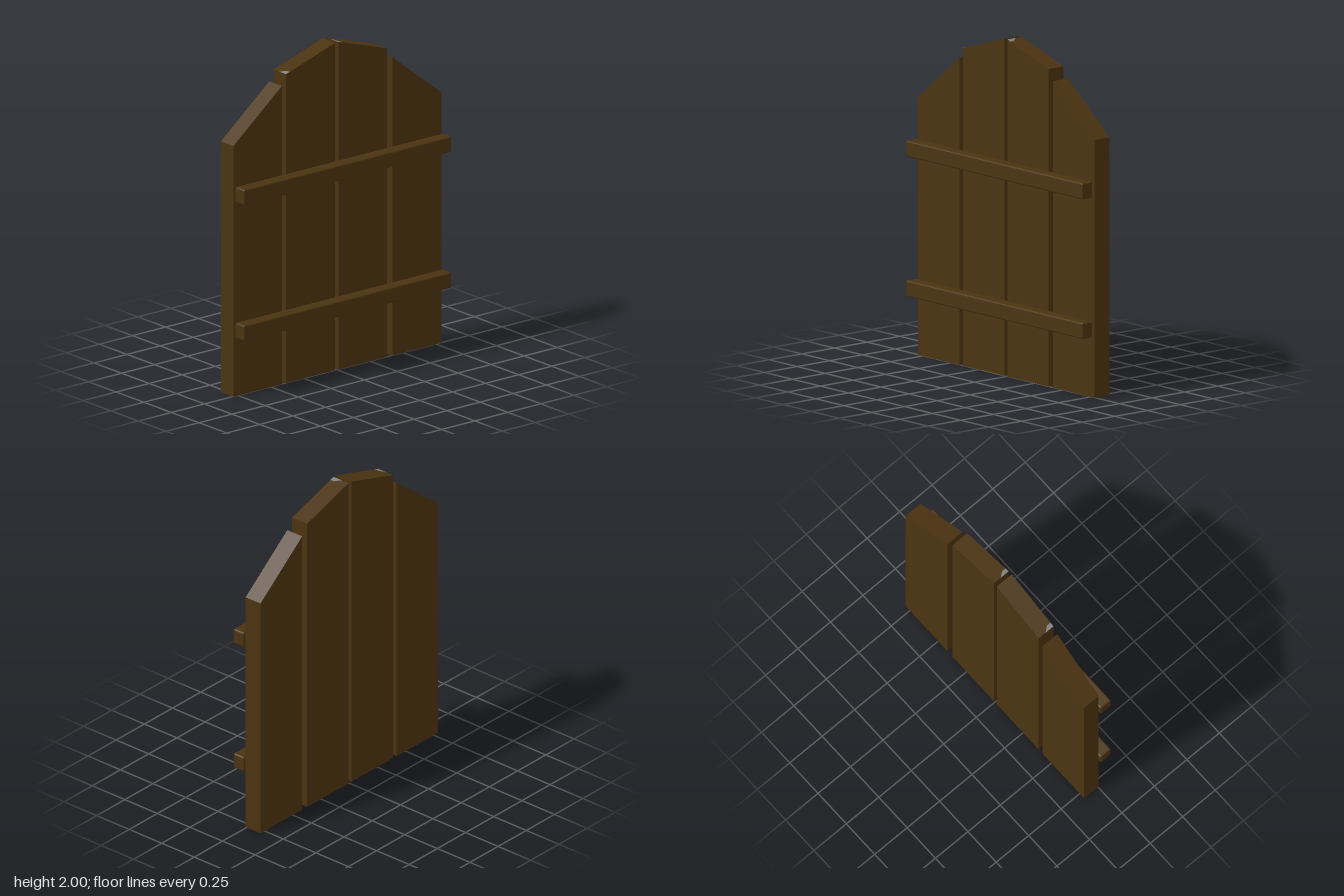
import * as THREE from 'three';
import { RoundedBoxGeometry } from 'three/addons/geometries/RoundedBoxGeometry.js';

const wood = new THREE.MeshStandardMaterial({ color: 0x4b3311 });
wood.name = 'dark wood';
const grey = new THREE.MeshStandardMaterial({ color: 0x808080 });
grey.name = 'worn grey';

const FACE = 0.007, THICK = 0.114;

// Flat outline pushed out along -x; outline coordinates are (z, y)
function plank(z0, z1, y0, y1) {
  const shape = new THREE.Shape([
    new THREE.Vector2(z0, 0), new THREE.Vector2(z1, 0),
    new THREE.Vector2(z1, y1), new THREE.Vector2(z0, y0),
  ]);
  const geo = new THREE.ExtrudeGeometry(shape, { depth: THICK, bevelEnabled: false });
  geo.rotateY(-Math.PI / 2).translate(FACE, 0, 0);
  return new THREE.Mesh(geo, wood);
}

// Thin horizontal plate; points are (x, -z)
function plate(points) {
  const shape = new THREE.Shape(points.map(([x, y]) => new THREE.Vector2(x, y)));
  const geo = new THREE.ExtrudeGeometry(shape, { depth: 0.002, bevelEnabled: false });
  geo.rotateX(-Math.PI / 2).translate(0, -0.001, 0);
  return new THREE.Mesh(geo, grey);
}

export function createModel() {
  const gate = new THREE.Group();
  gate.name = 'gate';

  // Upright planks: back z, front z, top height at each
  const planks = [
    [-0.787, -0.417, 1.53, 1.82],
    [-0.374, -0.008, 1.885, 2.0],
    [0.018, 0.388, 2.0, 1.885],
    [0.42, 0.787, 1.82, 1.53],
  ];
  planks.forEach((p, i) => {
    const mesh = plank(...p);
    mesh.name = `plank${i + 1}`;
    gate.add(mesh);
  });

  // Worn patches on the two middle planks
  for (const [z0, z1, y0, y1] of planks.slice(1, 3)) {
    const chip = plate([[-0.055, 0], [FACE, 0], [FACE, 0.028], [-0.02, 0.028]]);
    chip.name = 'topChip';
    chip.position.set(0, y1, z1);
    chip.rotation.x = -Math.atan2(y1 - y0, z1 - z0);
    gate.add(chip);

    const foot = plate([[-0.06, 0], [FACE, 0], [FACE, -0.22], [-0.05, -0.18]]);
    foot.name = 'footPatch';
    foot.position.set(0, 0, z0);
    gate.add(foot);
  }

  // Cross rails
  for (const [name, y] of [['lowerRail', 0.408], ['upperRail', 1.237]]) {
    const rail = new THREE.Mesh(new RoundedBoxGeometry(0.08, 0.096, 1.574, 2, 0.01), wood);
    rail.name = name;
    rail.position.set(0.062, y, 0);
    gate.add(rail);
  }
  return gate;
}
